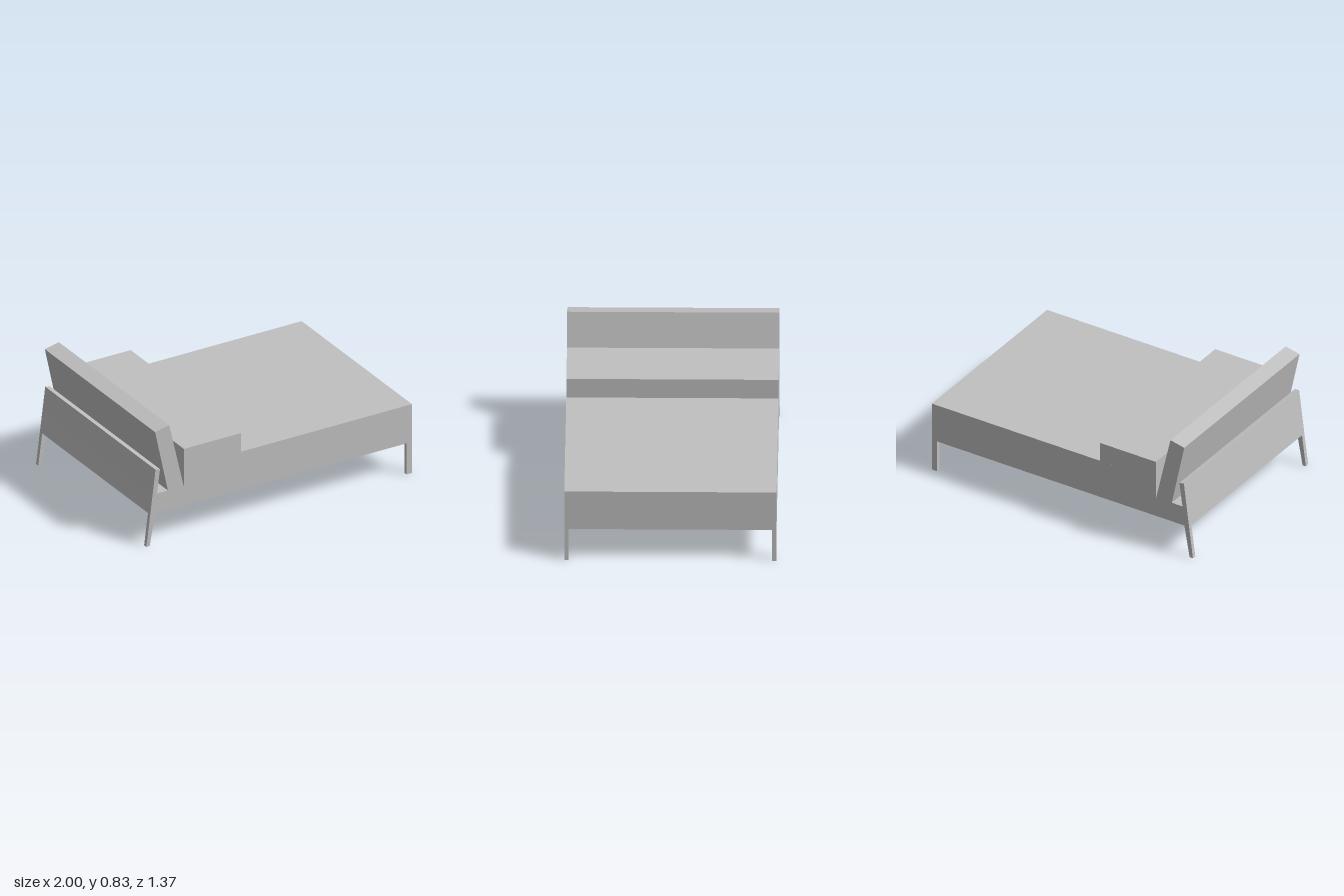
import * as THREE from 'three';

const HALF_DEPTH = 0.683;
const LEG_DEPTH = 0.028;

export function createModel() {
  const bed = new THREE.Group();
  bed.name = 'bed';
  const grey = new THREE.MeshStandardMaterial({ color: 0xc0c0c0 });
  grey.name = 'light grey';

  // Extrudes a side profile (x, y) between two z positions
  function slab(name, points, z0 = -HALF_DEPTH, z1 = HALF_DEPTH) {
    const shape = new THREE.Shape(points.map(([x, y]) => new THREE.Vector2(x, y)));
    const geometry = new THREE.ExtrudeGeometry(shape, { depth: z1 - z0, bevelEnabled: false });
    geometry.translate(0, 0, z0);
    const mesh = new THREE.Mesh(geometry, grey);
    mesh.name = name;
    bed.add(mesh);
  }
  const rect = (x0, y0, x1, y1) => [[x0, y0], [x1, y0], [x1, y1], [x0, y1]];

  // Base, mattress and pillow
  slab('base', [[-0.971, 0.225], [1, 0.225], [1, 0.365], [-0.953, 0.365]]);
  slab('mattress', rect(-0.717, 0.365, 1, 0.498));
  slab('pillow', rect(-0.717, 0.498, -0.288, 0.633));

  // Leaning backrest and the outer board behind it
  slab('backrest', [[-0.838, 0.365], [-0.719, 0.365], [-0.828, 0.835], [-0.934, 0.812]]);
  slab('endBoard', [[-0.953, 0.365], [-0.92, 0.365], [-0.897, 0.535], [-0.931, 0.54]]);

  // Four legs: straight at the foot, splayed in line with the end board
  for (const [side, z0] of [['Front', HALF_DEPTH - LEG_DEPTH], ['Back', -HALF_DEPTH]]) {
    slab('straightLeg' + side, rect(0.96, 0, 1, 0.225), z0, z0 + LEG_DEPTH);
    slab('splayedLeg' + side,
      [[-1, 0], [-0.975, 0], [-0.934, 0.225], [-0.971, 0.225]], z0, z0 + LEG_DEPTH);
  }
  return bed;
}
